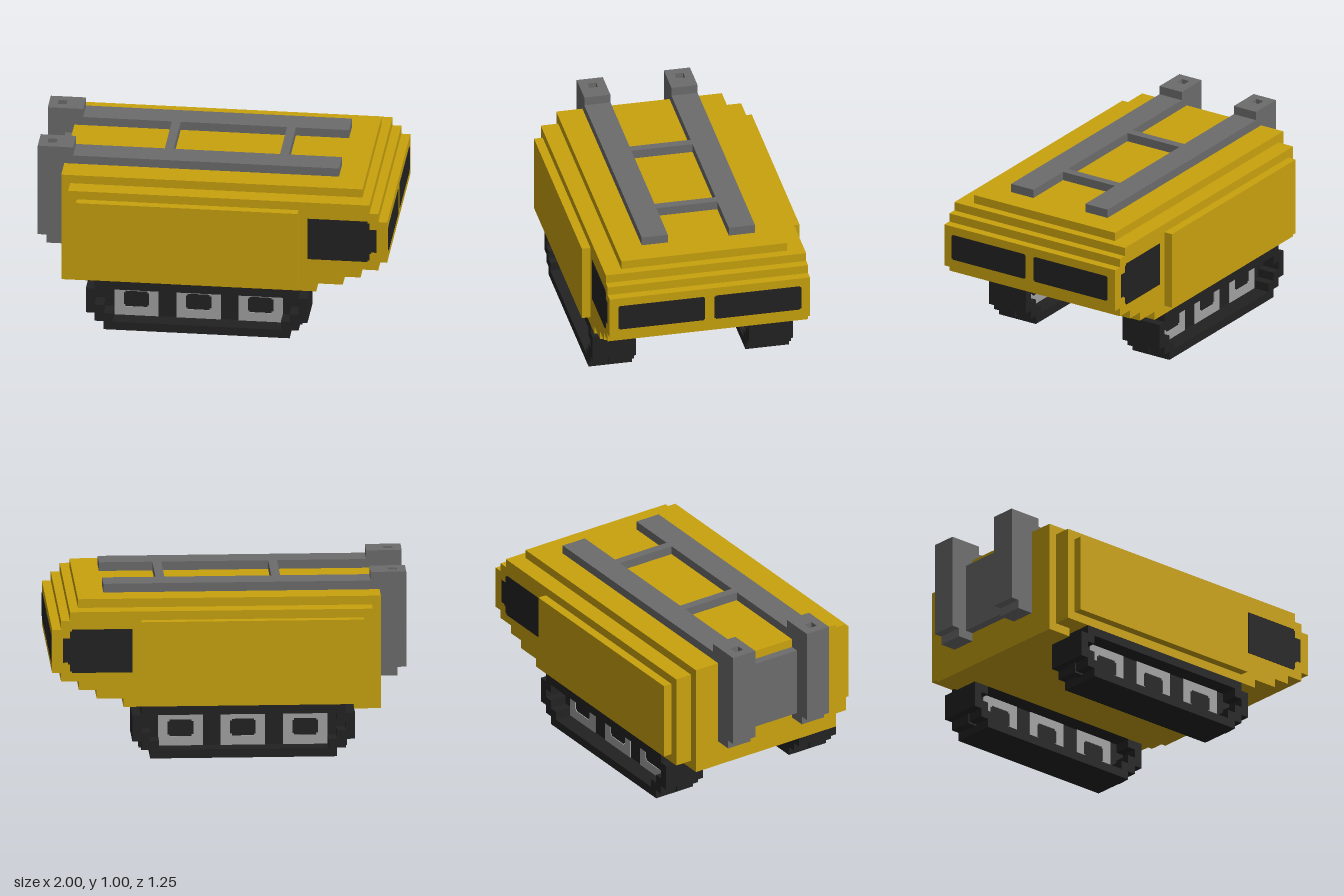
import * as THREE from 'three';

const mat = (name, color) => Object.assign(new THREE.MeshStandardMaterial({ color }), { name });

// Outline of stacked rows [topY, minX, maxX], starting at height y
function steppedPoints(y, rows) {
  const right = [], left = [];
  for (const [top, x0, x1] of rows) {
    right.push(new THREE.Vector2(x1, y), new THREE.Vector2(x1, top));
    left.push(new THREE.Vector2(x0, y), new THREE.Vector2(x0, top));
    y = top;
  }
  return right.concat(left.reverse());
}

const rectPoints = (x0, x1, y0, y1) => steppedPoints(y0, [[y1, x0, x1]]);

// Rectangle with small notched corners
const notchedPoints = (x0, x1, y0, y1, n = 0.01) =>
  steppedPoints(y0, [[y0 + n, x0 + n, x1 - n], [y1 - n, x0, x1], [y1, x0 + n, x1 - n]]);

// Extrude an outline along z, with optional holes
function slab(points, z0, z1, holes = []) {
  const shape = new THREE.Shape(points);
  for (const h of holes) shape.holes.push(new THREE.Path(h));
  return new THREE.ExtrudeGeometry(shape, { depth: z1 - z0, bevelEnabled: false }).translate(0, 0, z0);
}

export function createModel() {
  const yellow = mat('yellow paint', 0xc9a20e);
  const grey = mat('grey metal', 0x6c6c6c);
  const dark = mat('black rubber and glass', 0x222222);
  const light = mat('light grey wheel', 0xa2a2a2);
  const model = new THREE.Group();
  model.name = 'trackedVehicle';

  const add = (name, geometry, material, parent = model) => {
    const m = new THREE.Mesh(geometry, material);
    m.name = name;
    parent.add(m);
    return m;
  };
  const box = (name, material, x0, x1, y0, y1, z0, z1, parent) =>
    add(name, new THREE.BoxGeometry(x1 - x0, y1 - y0, z1 - z0)
      .translate((x0 + x1) / 2, (y0 + y1) / 2, (z0 + z1) / 2), material, parent);

  // Hull with stepped nose
  add('hull', slab(steppedPoints(0.3, [
    [0.35, -0.8, 0.6], [0.4, -0.8, 0.75], [0.45, -0.8, 0.85], [0.5, -0.8, 0.95],
    [0.75, -0.8, 1], [0.8, -0.8, 0.95], [0.85, -0.8, 0.9],
  ]), -0.575, 0.575), yellow);
  box('roof', yellow, -0.8, 0.85, 0.85, 0.9, -0.475, 0.475);
  box('rearWall', yellow, -0.85, -0.8, 0.25, 0.9, -0.475, 0.475);
  box('rearFloor', yellow, -0.8, -0.7, 0.25, 0.3, -0.475, 0.475);
  box('floor', yellow, -0.7, 0.55, 0.25, 0.3, -0.325, 0.325);

  // Roof cross bars and rear plate
  for (const x of [-0.3, 0.35]) box('crossBar', grey, x, x + 0.05, 0.9, 0.95, -0.175, 0.175);
  box('rearPlate', grey, -0.9, -0.85, 0.45, 0.85, -0.175, 0.175);

  for (const s of [-1, 1]) {
    const side = new THREE.Group();
    side.name = s > 0 ? 'nearSide' : 'farSide';
    model.add(side);
    const sbox = (name, material, x0, x1, y0, y1, a, b) =>
      box(name, material, x0, x1, y0, y1, Math.min(s * a, s * b), Math.max(s * a, s * b), side);
    const sslab = (name, material, pts, a, b, holes) =>
      add(name, slab(pts, Math.min(s * a, s * b), Math.max(s * a, s * b), holes), material, side);

    sbox('sidePanel', yellow, -0.75, 0.5, 0.35, 0.8, 0.575, 0.625);

    // Windows
    sslab('sideWindow', dark, steppedPoints(0.5, [
      [0.51, 0.55, 0.89], [0.55, 0.55, 0.9], [0.56, 0.55, 0.91], [0.7, 0.55, 0.94],
      [0.74, 0.55, 0.9], [0.75, 0.55, 0.89],
    ]), 0.574, 0.578);
    const front = add('frontWindow', slab(notchedPoints(-0.248, 0.248, 0.55, 0.7, 0.006), -0.001, 0.003), dark, side);
    front.rotation.y = Math.PI / 2;
    front.position.set(1, 0, s * 0.276);

    // Roof rail and rear stack with an open top
    sbox('roofRail', grey, -0.8, 0.7, 0.9, 0.95, 0.175, 0.325);
    sslab('rearStack', grey, steppedPoints(0.4, [[0.45, -0.95, -0.8], [0.95, -1, -0.8]]), 0.175, 0.325);
    const cap = add('stackCap', slab(rectPoints(-1, -0.8, -0.075, 0.075), 0, 0.05,
      [rectPoints(-0.95, -0.9, -0.025, 0.025)]), grey, side);
    cap.rotation.x = -Math.PI / 2;
    cap.position.set(0, 0.95, s * 0.25);

    // Track belt around a recessed core
    sslab('trackBelt', dark, steppedPoints(0, [
      [0.05, -0.6, 0.45], [0.1, -0.65, 0.5], [0.25, -0.7, 0.55], [0.3, -0.65, 0.5],
    ]), 0.325, 0.575, [steppedPoints(0.05, [
      [0.1, -0.55, 0.4], [0.15, -0.6, 0.45], [0.2, -0.65, 0.5], [0.25, -0.6, 0.45],
    ])]);
    sbox('trackCore', dark, -0.66, 0.51, 0.04, 0.26, 0.425, 0.475);

    // Wheels on both faces of the core
    for (const x of [-0.55, -0.2, 0.15]) {
      for (const [a, b] of [[0.42, 0.426], [0.474, 0.48]]) {
        sslab('wheel', light, rectPoints(x, x + 0.25, 0.05, 0.25), a, b,
          [notchedPoints(x + 0.053, x + 0.197, 0.103, 0.2)]);
      }
    }
  }
  return model;
}
